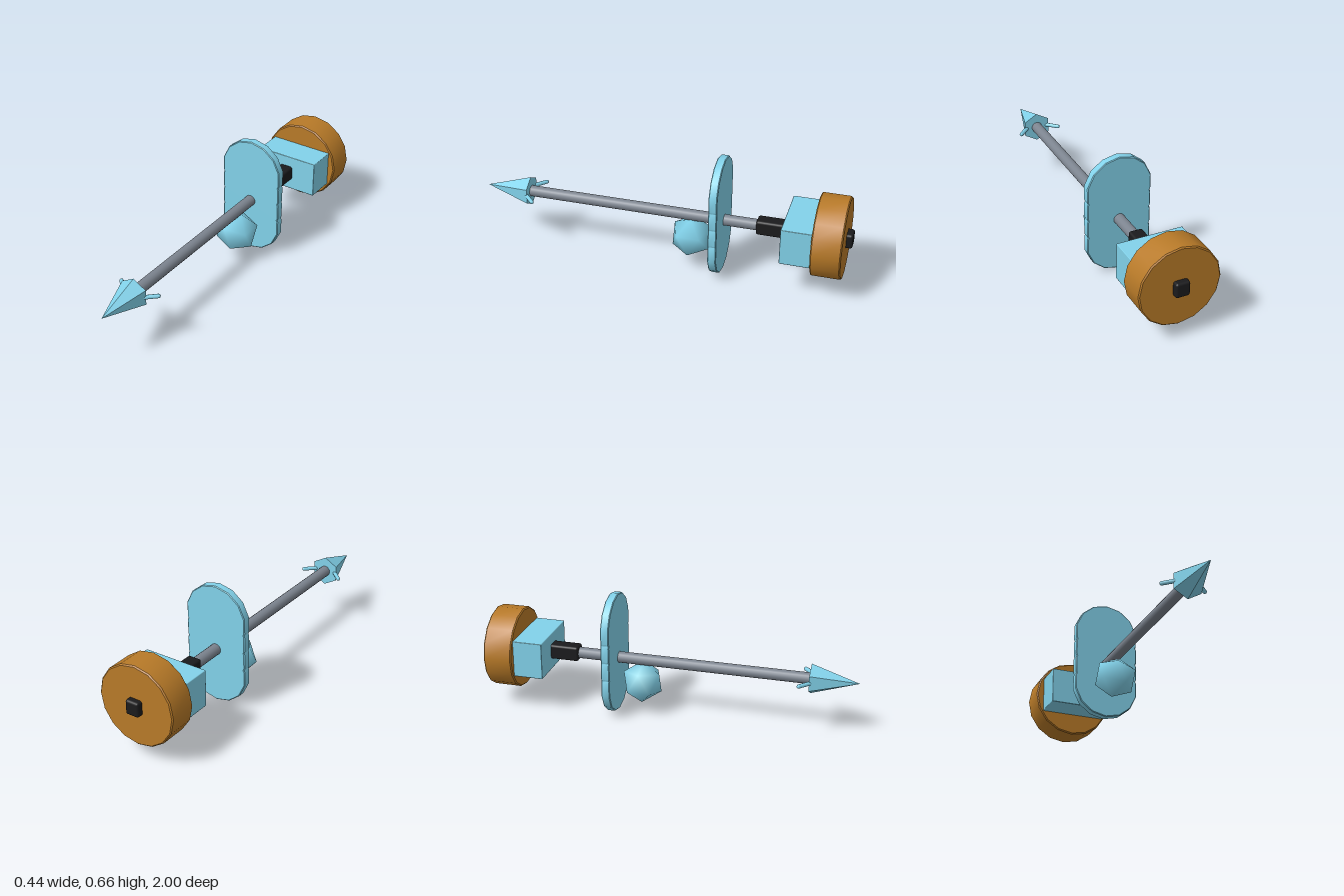
import * as THREE from 'three';
import { mergeVertices, toCreasedNormals } from 'three/addons/utils/BufferGeometryUtils.js';
import { RoundedBoxGeometry } from 'three/addons/geometries/RoundedBoxGeometry.js';

const AXIS_Y = 0.302;
const paint = (color, extra = {}) => new THREE.MeshStandardMaterial({ color, ...extra });

// Bevelled slab whose outline is points, spanning zBack to zFront
function slab(points, zBack, zFront, bevel) {
  const geometry = new THREE.ExtrudeGeometry(new THREE.Shape(points), {
    depth: zFront - zBack - 2 * bevel,
    bevelThickness: bevel, bevelSize: bevel, bevelOffset: -bevel, bevelSegments: 1,
  });
  geometry.translate(0, 0, zBack + bevel);
  return toCreasedNormals(geometry, 0.6);
}

export function createModel() {
  const model = new THREE.Group();
  const blue = paint(0x82d2ea);
  const blueFlat = paint(0x82d2ea, { flatShading: true });
  const grey = paint(0x7c848f);
  const black = paint(0x1b1b1d);
  const orange = paint(0xb87a28);

  function add(name, geometry, material, x = 0, y = 0, z = 0) {
    const mesh = new THREE.Mesh(geometry, material);
    mesh.name = name;
    mesh.position.set(x, y, z);
    model.add(mesh);
    return mesh;
  }

  // Shaft along z
  const shaft = new THREE.CylinderGeometry(0.03, 0.03, 1.27, 16).rotateX(Math.PI / 2);
  add('shaft', shaft, grey, 0, AXIS_Y, 0.125);

  // Six-sided pointed tip
  const tip = new THREE.ConeGeometry(0.083, 0.25, 6).rotateX(Math.PI / 2);
  add('tip', tip, blueFlat, 0, AXIS_Y, 0.875);

  // Swept-back barbs, mirrored
  for (const side of [1, -1]) {
    const path = new THREE.LineCurve3(
      new THREE.Vector3(side * 0.04, 0, 0.775), new THREE.Vector3(side * 0.113, 0, 0.705));
    const length = path.getLength();
    const barb = add(side > 0 ? 'leftBarb' : 'rightBarb',
      new THREE.CapsuleGeometry(0.011, length, 3, 8), blue);
    barb.position.copy(path.getPoint(0.5)).setY(AXIS_Y);
    barb.quaternion.setFromUnitVectors(new THREE.Vector3(0, 1, 0), path.getTangent(0));
  }

  // Hand guard: four overlapping 14-sided discs, outlined as one notched plate
  const step = Math.PI / 7;
  const rim = (k, y) => new THREE.Vector2(Math.sin(k * step) * 0.18, y + Math.cos(k * step) * 0.18);
  const half = [];
  for (let k = 0; k <= 4; k++) half.push(rim(k, 0.48));
  for (const y of [0.38, 0.28]) {
    half.push(new THREE.Vector2(0.171, y + 0.05), rim(3, y), rim(4, y));
  }
  half.push(new THREE.Vector2(0.171, 0.23));
  for (let k = 3; k <= 7; k++) half.push(rim(k, 0.18));
  const mirrored = half.slice(1, -1).reverse().map((p) => new THREE.Vector2(-p.x, p.y));
  const outline = [...half, ...mirrored].reverse();
  add('handGuard', slab(outline, -0.325, -0.28, 0.004), blue);

  // Faceted stone with soft shading, under the shaft
  let stone = new THREE.IcosahedronGeometry(0.115, 0);
  stone.deleteAttribute('normal');
  stone.deleteAttribute('uv');
  stone = mergeVertices(stone);
  stone.rotateZ(0.36);
  stone.computeVertexNormals();
  add('stone', stone, blue, 0, 0.175, -0.15);

  // Square grip running through the block and wheel
  add('grip', new RoundedBoxGeometry(0.076, 0.08, 0.5, 2, 0.012), black, 0, AXIS_Y, -0.75);
  add('rearBlock', new RoundedBoxGeometry(0.356, 0.2, 0.165, 1, 0.004), blue, 0, AXIS_Y, -0.735);

  // Sixteen-sided end wheel
  const wheel = [];
  for (let i = 0; i < 16; i++) {
    const a = (i / 16) * Math.PI * 2;
    wheel.push(new THREE.Vector2(Math.cos(a) * 0.218, Math.sin(a) * 0.218));
  }
  add('endWheel', slab(wheel, -0.967, -0.812, 0.006), orange, 0, AXIS_Y, 0);

  return model;
}
